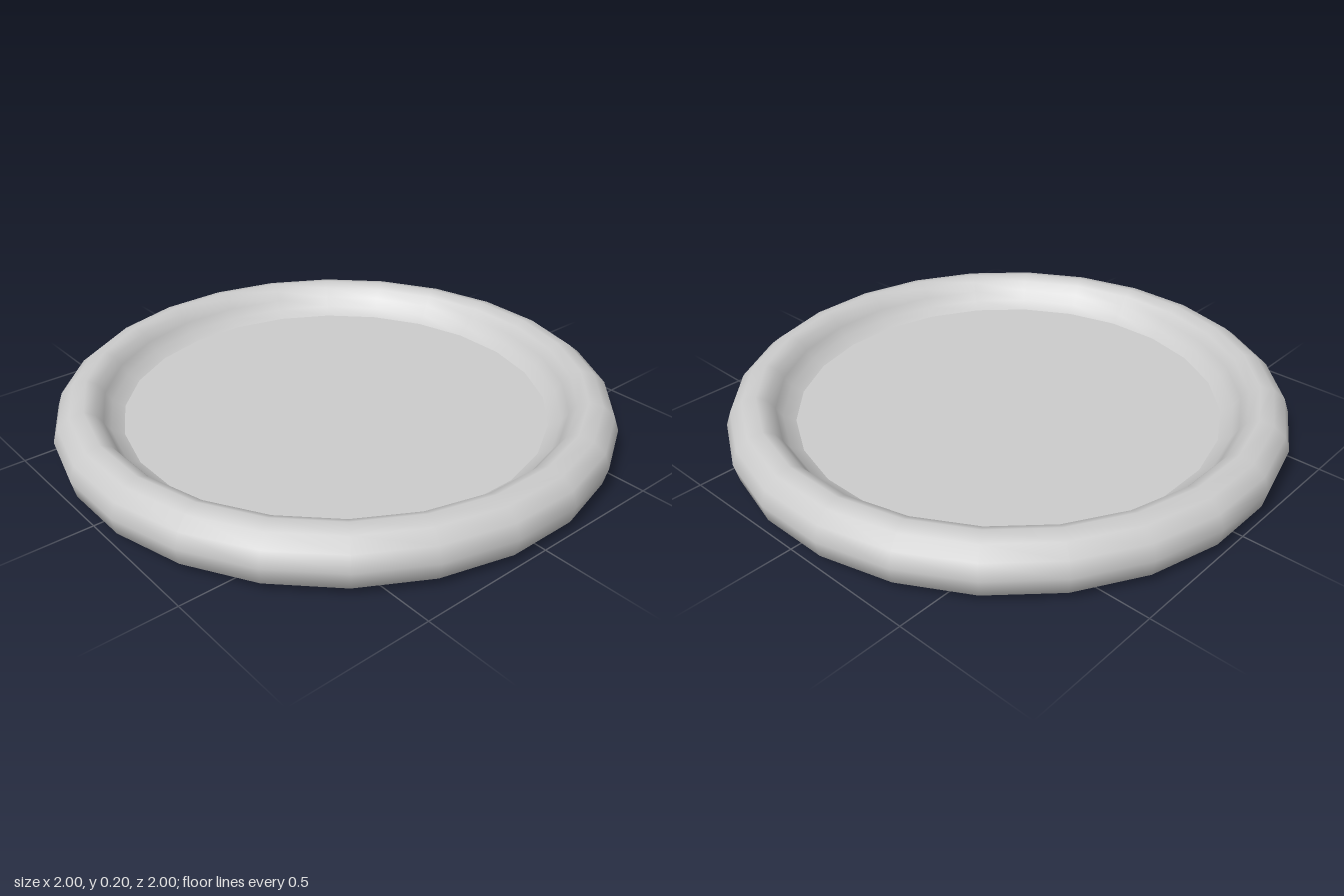
import * as THREE from 'three';

const SIDES = 24;
const HALF_STEP = Math.PI / SIDES;
// Radii are given at the middle of a side; corners lie slightly further out
const corner = (r) => r / Math.cos(HALF_STEP);

export function createModel() {
  const group = new THREE.Group();
  group.name = 'dish';
  const material = new THREE.MeshStandardMaterial({ color: 0xcccccc });

  const add = (name, geometry) => {
    const mesh = new THREE.Mesh(geometry, material);
    mesh.name = name;
    group.add(mesh);
    return mesh;
  };

  // Rounded rim: from the base, around the outside, over the top, down to the floor
  const profile = [
    [0.93, 0], [0.985, 0.037], [1, 0.1], [0.982, 0.152], [0.94, 0.187], [0.89, 0.2],
    [0.853, 0.183], [0.828, 0.15], [0.805, 0.115], [0.762, 0.092],
  ].map(([r, y]) => new THREE.Vector2(corner(r), y));
  add('rim', new THREE.LatheGeometry(profile, SIDES, HALF_STEP));

  // Flat discs closing the inside and the underside
  const disc = (name, r, y, tilt) => {
    const geometry = new THREE.CircleGeometry(corner(r), SIDES, HALF_STEP);
    add(name, geometry.rotateX(tilt).translate(0, y, 0));
  };
  disc('floor', 0.762, 0.092, -Math.PI / 2);
  disc('base', 0.93, 0, Math.PI / 2);

  return group;
}
